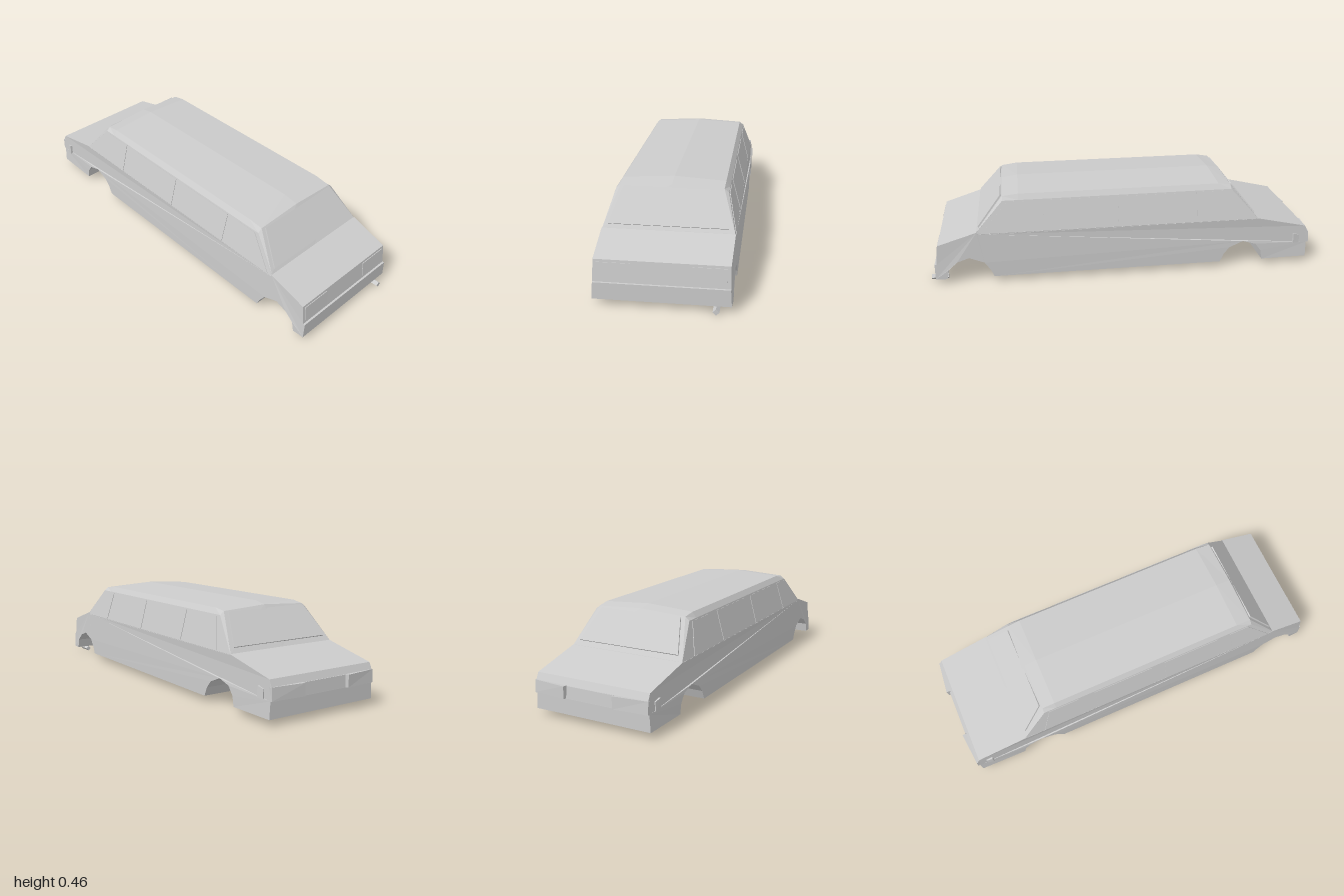
import * as THREE from 'three';

const material = new THREE.MeshStandardMaterial({ color: 0xcccccc, flatShading: true });

function add(group, name, geometry) {
  const mesh = new THREE.Mesh(geometry, material);
  mesh.name = name;
  group.add(mesh);
  return mesh;
}

// Four-sided plate: corners anticlockwise seen from outside, raised by out and sunk by depth
function plate(corners, out = 0.004, depth = 0.004) {
  const p = corners.map((c) => new THREE.Vector3(...c));
  const n = p[1].clone().sub(p[0]).cross(p[3].clone().sub(p[0])).normalize();
  const pts = [...p.map((v) => v.clone().addScaledVector(n, out)),
    ...p.map((v) => v.clone().addScaledVector(n, -depth))];
  const index = [0, 1, 2, 0, 2, 3, 4, 6, 5, 4, 7, 6];
  for (let i = 0; i < 4; i++) {
    const j = (i + 1) % 4;
    index.push(i, i + 4, j, j, i + 4, j + 4);
  }
  const g = new THREE.BufferGeometry().setFromPoints(pts);
  g.setIndex(index);
  g.computeVertexNormals();
  return g;
}

const mirrored = (corners) => corners.map(([x, y, z]) => [-x, y, z]).reverse();

function addPair(group, name, corners, out, depth) {
  add(group, name + 'Left', plate(corners, out, depth));
  add(group, name + 'Right', plate(mirrored(corners), out, depth));
}

// Half width of the lower body, narrowing upward and toward both ends
function halfWidth(y, z) {
  const t = THREE.MathUtils.clamp((y - 0.12) / 0.14, 0, 1);
  const end = THREE.MathUtils.clamp((Math.abs(z) - 0.9) / 0.07, 0, 1);
  return 0.312 - 0.006 * t - (y > 0.1 ? 0.009 : 0.004) * end;
}

// Lower body: side outline with wheel arches, extruded across the width
function lowerBody() {
  const outline = [
    [0.973, 0.03], [0.973, 0.11], [0.963, 0.11], [0.95, 0.212], [0.755, 0.274],
    [0.75, 0.265], [-0.69, 0.262], [-0.695, 0.264], [-0.962, 0.203], [-0.978, 0.17], [-0.983, 0.11],
    [-0.974, 0.11], [-0.974, 0.03],
    [-0.73, 0.03], [-0.72, 0.08], [-0.69, 0.12], [-0.62, 0.14], [-0.55, 0.11], [-0.52, 0.075], [-0.5, 0.03],
    [0.68, 0.03], [0.695, 0.065], [0.725, 0.11], [0.8, 0.14], [0.86, 0.12], [0.905, 0.08], [0.915, 0.03],
  ];
  const shape = new THREE.Shape(outline.map(([z, y]) => new THREE.Vector2(z, y)));
  const g = new THREE.ExtrudeGeometry(shape, { depth: 1, bevelEnabled: false });
  g.translate(0, 0, -0.5).rotateY(-Math.PI / 2);
  const pos = g.attributes.position;
  for (let i = 0; i < pos.count; i++) {
    pos.setX(i, Math.sign(pos.getX(i)) * halfWidth(pos.getY(i), pos.getZ(i)));
  }
  g.computeVertexNormals();
  return g;
}

// Cabin: loft through cross-sections from one end window to the other
function cabin() {
  // z, shoulder x/y, roof edge x/y, roof centre y
  const sections = [
    [0.755, 0.303, 0.274, 0.303, 0.275, 0.276],
    [0.62, 0.263, 0.42, 0.242, 0.437, 0.45],
    [0.54, 0.263, 0.42, 0.244, 0.447, 0.462],
    [-0.49, 0.263, 0.42, 0.244, 0.447, 0.462],
    [-0.555, 0.263, 0.42, 0.242, 0.437, 0.45],
    [-0.695, 0.304, 0.264, 0.304, 0.265, 0.266],
  ];
  const pts = [];
  for (const [z, sx, sy, rx, ry, cy] of sections) {
    const half = [[0.306, 0.26], [sx, sy], [rx, ry]];
    for (const [x, y] of half) pts.push(new THREE.Vector3(x, y, z));
    pts.push(new THREE.Vector3(0, cy, z));
    for (const [x, y] of half.reverse()) pts.push(new THREE.Vector3(-x, y, z));
  }
  const index = [];
  for (let r = 0; r < sections.length - 1; r++) {
    for (let k = 0; k < 6; k++) {
      const a = r * 7 + k, b = a + 7;
      index.push(a, b, a + 1, a + 1, b, b + 1);
    }
  }
  const g = new THREE.BufferGeometry().setFromPoints(pts);
  g.setIndex(index);
  g.computeVertexNormals();
  return g;
}

export function createModel() {
  const car = new THREE.Group();
  car.name = 'longCar';

  add(car, 'lowerBody', lowerBody());
  add(car, 'cabin', cabin());

  // Side windows: z of lower and upper corners
  const wallX = (y) => 0.306 - (y - 0.26) * 0.27;
  const low = 0.265, high = 0.413;
  const windows = [
    [0.73, 0.51, 0.495, 0.6],
    [0.42, 0.115, 0.115, 0.42],
    [0.04, -0.28, -0.28, 0.04],
    [-0.37, -0.585, -0.53, -0.37],
  ];
  windows.forEach(([a, b, c, d], i) => {
    addPair(car, 'sideWindow' + (i + 1), [
      [wallX(low), low, a], [wallX(low), low, b], [wallX(high), high, c], [wallX(high), high, d],
    ], 0.003);
  });

  // End windows
  add(car, 'frontWindow', plate([
    [-0.278, 0.29, 0.743], [0.278, 0.29, 0.743], [0.225, 0.432, 0.626], [-0.225, 0.432, 0.626],
  ], 0.007));
  add(car, 'backWindow', plate([
    [0.275, 0.287, -0.678], [-0.275, 0.287, -0.678], [-0.222, 0.43, -0.561], [0.222, 0.43, -0.561],
  ], 0.007));

  // Large lamps on the front panel
  addPair(car, 'frontLamp', [
    [0.135, 0.125, 0.961], [0.287, 0.125, 0.961], [0.287, 0.2, 0.952], [0.135, 0.2, 0.952],
  ], 0.003);

  // Swept-back lamps, grille and corner markers at the back
  addPair(car, 'backLamp', [
    [0.303, 0.112, -0.983], [0.13, 0.112, -0.997], [0.13, 0.172, -0.997], [0.303, 0.172, -0.979],
  ], 0.002, 0.025);
  add(car, 'grille', plate([
    [0.125, 0.115, -0.984], [-0.125, 0.115, -0.984], [-0.125, 0.17, -0.98], [0.125, 0.17, -0.98],
  ], 0.003));
  addPair(car, 'cornerMarker', [
    [0.31, 0.112, -0.897], [0.304, 0.112, -0.93], [0.302, 0.155, -0.93], [0.308, 0.165, -0.897],
  ], 0.005, 0.006);

  // Square exhaust pipe set on its corner
  const pipe = add(car, 'exhaustPipe', new THREE.CylinderGeometry(0.015, 0.015, 0.085, 4));
  pipe.rotation.x = Math.PI / 2;
  pipe.position.set(0.242, 0.015, 0.957);

  return car;
}
